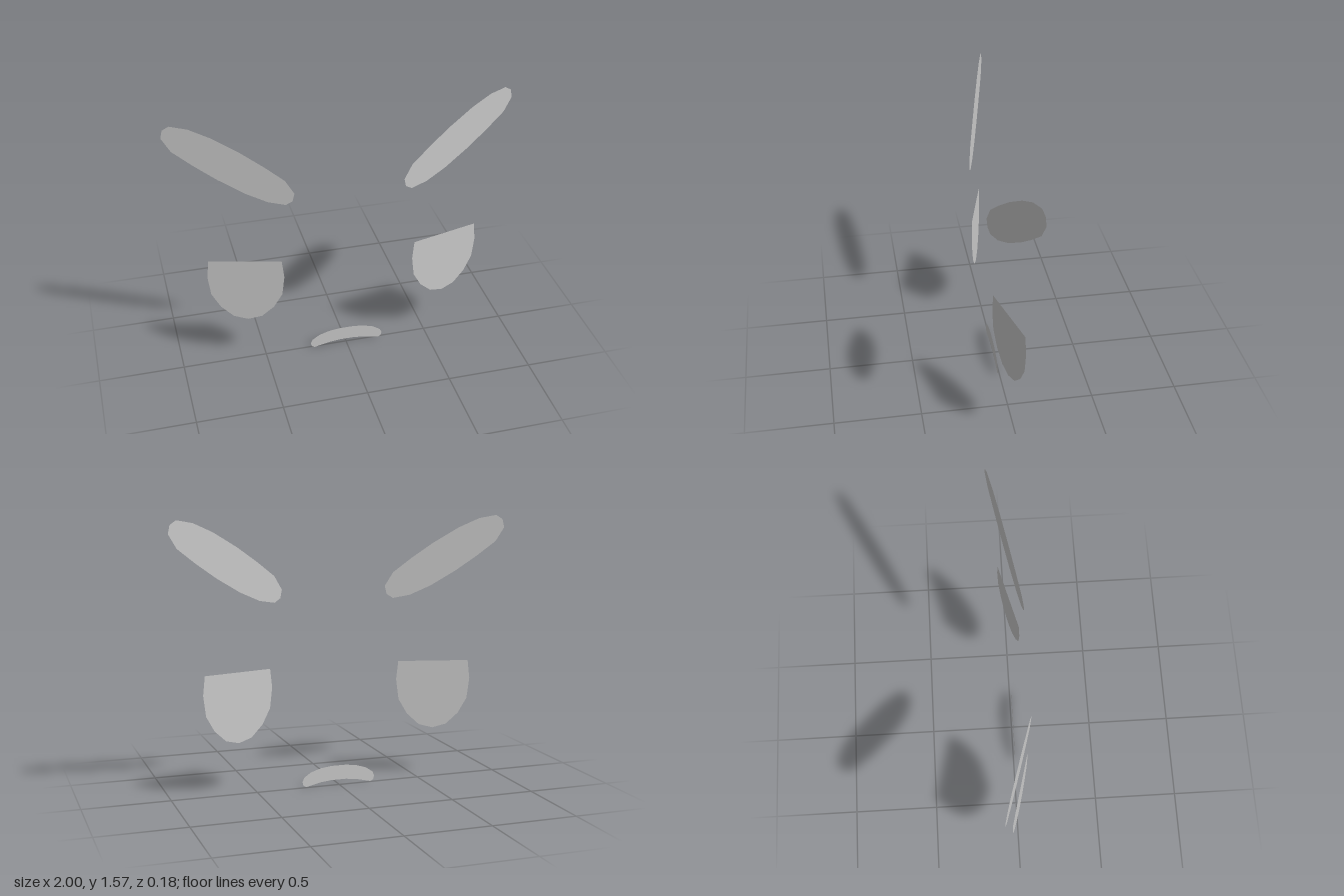
import * as THREE from 'three';

const material = new THREE.MeshStandardMaterial({ color: 0xcccccc, side: THREE.DoubleSide, flatShading: true });

// Half outlines; each is completed by symmetry
const browHalf = [[0.342, 0.171], [0.331, 0.219], [0.294, 0.243], [0.198, 0.225],
  [0.08, 0.171], [-0.064, 0.083], [-0.187, -0.005], [-0.294, -0.09]];
const eyeHalf = [[0.203, 0.706], [0.215, 0.596], [0.2, 0.475], [0.15, 0.385], [0.08, 0.318], [0, 0.296]];
const mouthHalf = [[0.045, 0.114], [0.108, 0.106], [0.17, 0.087], [0.213, 0.058], [0.224, 0.032],
  [0.218, 0.01], [0.2, 0], [0.108, 0.021], [0.045, 0.028]];

const mirrorX = (pts) => pts.filter(([x]) => x !== 0).reverse().map(([x, y]) => [-x, y]);
const brow = [...browHalf, ...browHalf.map(([x, y]) => [-x, -y])];
const eye = [...eyeHalf, ...mirrorX(eyeHalf)];
const mouth = [...mouthHalf, ...mirrorX(mouthHalf)];

// Flat upright panel, its outer edge swept back by slope
function panel(name, outline, [cx, cy, cz], side = 1, slope = 0) {
  const shape = new THREE.Shape(outline.map(([x, y]) => new THREE.Vector2(x * side, y)));
  const geometry = new THREE.ShapeGeometry(shape);
  const p = geometry.attributes.position;
  for (let i = 0; i < p.count; i++) p.setZ(i, -slope * side * p.getX(i));
  geometry.computeVertexNormals();
  const mesh = new THREE.Mesh(geometry, material);
  mesh.name = name;
  mesh.position.set(cx * side, cy, cz);
  return mesh;
}

export function createModel() {
  const group = new THREE.Group();
  group.name = 'face';
  for (const [label, side] of [['left', 1], ['right', -1]]) {
    group.add(panel(label + 'Eyebrow', brow, [0.658, 1.328, 0], side, 0.263));
    group.add(panel(label + 'Eye', eye, [0.6, 0, 0.015], side, 0.258));
  }
  group.add(panel('mouth', mouth, [0, 0, 0.01]));
  return group;
}
